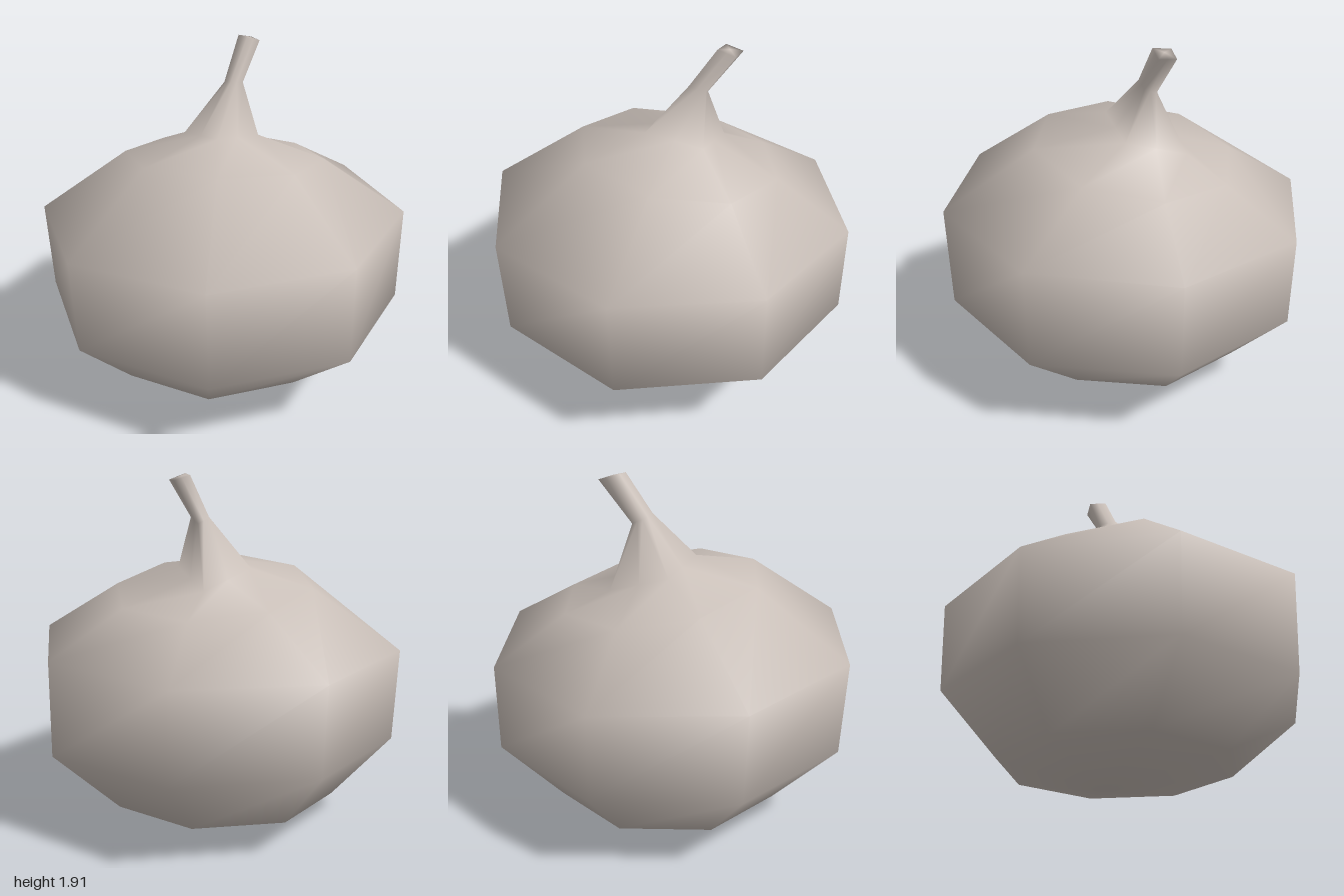
import * as THREE from 'three';

const SIDES = 8;

// Eight-sided ring around (cx, cz); height is a function of x and z so the ring can lean.
function roundRing(cx, cz, radius, height, turn = -0.02) {
  return Array.from({ length: SIDES }, (_, i) => {
    const a = turn + (i / SIDES) * Math.PI * 2;
    const x = cx + radius * Math.cos(a);
    const z = cz + radius * Math.sin(a);
    return [x, height(x, z), z];
  });
}

// Square ring given by its left, front, right and back corners, with edge midpoints added.
function squareRing(corners) {
  return corners.flatMap((p, i) => {
    const q = corners[(i + 1) % 4];
    return [p, p.map((v, k) => (v + q[k]) / 2)];
  });
}

export function createModel() {
  const bodyRings = [
    roundRing(-0.025, -0.035, 0.635, () => 0.15),
    roundRing(0.01, -0.008, 0.985, () => 0.49),
    roundRing(0, 0, 1, (x, z) => 1 + 0.02 * x + 0.03 * z),
    roundRing(0.01, -0.06, 0.545, (x, z) => 1.3 - 0.01 * x + 0.165 * (z + 0.06)),
    // flared foot of the stem
    squareRing([[0.19, 1.405, -0.11], [-0.01, 1.46, 0.13], [-0.21, 1.41, -0.1], [-0.02, 1.32, -0.36]]),
  ];
  const stemRings = [
    // neck
    squareRing([[0.1, 1.68, -0.17], [0.04, 1.7, -0.1], [0, 1.68, -0.17], [0.05, 1.65, -0.21]]),
    // tip
    squareRing([[0.18, 1.88, -0.29], [0.115, 1.91, -0.22], [0.065, 1.905, -0.3], [0.13, 1.88, -0.365]]),
  ];
  const rings = [...bodyRings, ...stemRings];
  const points = [...rings.flat(), [-0.15, 0, -0.05], [0.12, 1.9, -0.29]];
  const bottom = points.length - 2;
  const top = points.length - 1;

  // Faces between neighbouring rings, closed by a fan at each end
  const bodyFaces = [];
  const stemFaces = [];
  for (let i = 0; i < SIDES; i++) {
    const j = (i + 1) % SIDES;
    bodyFaces.push(bottom, i, j);
    for (let r = 0; r < rings.length - 1; r++) {
      const a = r * SIDES;
      const b = a + SIDES;
      const faces = r < bodyRings.length - 1 ? bodyFaces : stemFaces;
      faces.push(a + i, b + i, a + j, a + j, b + i, b + j);
    }
    const last = (rings.length - 1) * SIDES;
    stemFaces.push(top, last + j, last + i);
  }

  // Shared smooth normals keep the shading continuous from body to stem
  const skin = new THREE.BufferGeometry();
  skin.setAttribute('position', new THREE.Float32BufferAttribute(points.flat(), 3));
  skin.setIndex([...bodyFaces, ...stemFaces]);
  skin.computeVertexNormals();

  const paleStone = new THREE.MeshStandardMaterial({ color: 0xc8beb7 });
  paleStone.name = 'paleStone';

  const group = new THREE.Group();
  group.name = 'pumpkin';
  for (const [name, faces] of [['body', bodyFaces], ['stem', stemFaces]]) {
    const geometry = skin.clone();
    geometry.setIndex(faces);
    const mesh = new THREE.Mesh(geometry, paleStone);
    mesh.name = name;
    group.add(mesh);
  }
  return group;
}
